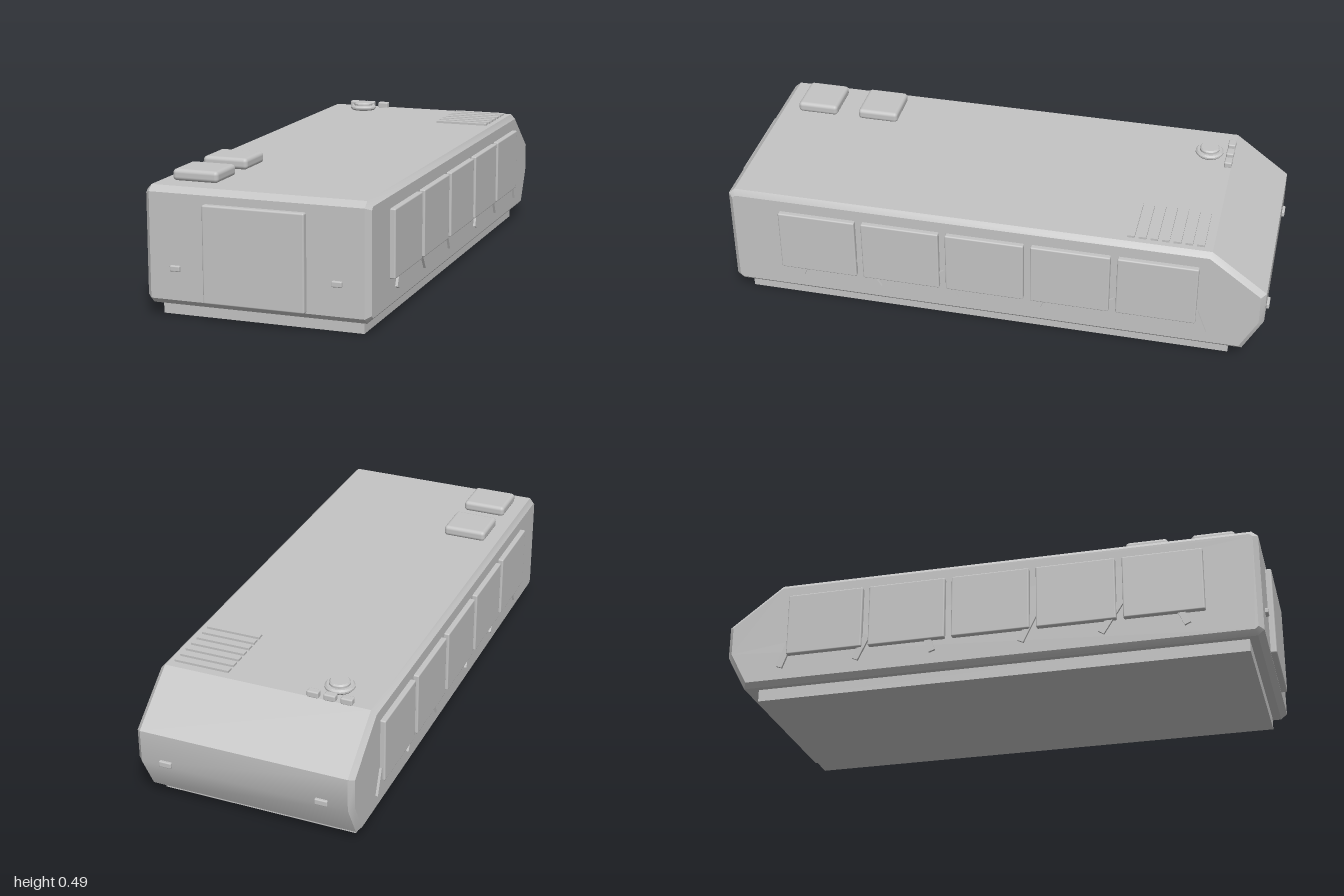
import * as THREE from 'three';
import { toCreasedNormals } from 'three/addons/utils/BufferGeometryUtils.js';
import { RoundedBoxGeometry } from 'three/addons/geometries/RoundedBoxGeometry.js';

export function createModel() {
  const model = new THREE.Group();
  model.name = 'armouredHull';
  const grey = new THREE.MeshStandardMaterial({ color: 0xc4c4c4 });
  grey.name = 'plain grey';

  function add(name, geometry, x, y, z) {
    const mesh = new THREE.Mesh(geometry, grey);
    mesh.name = name;
    mesh.position.set(x, y, z);
    model.add(mesh);
    return mesh;
  }
  const box = (name, w, h, d, x, y, z) => add(name, new THREE.BoxGeometry(w, h, d), x, y, z);
  const rounded = (name, w, h, d, r, x, y, z) =>
    add(name, new RoundedBoxGeometry(w, h, d, 3, r), x, y, z);

  // Hull: side profile (z, y) extruded across the width with chamfered edges
  const profile = [
    [0.955, 0.045], [0.978, 0.065], [0.978, 0.43], [0.955, 0.45],
    [-0.79, 0.45], [-0.99, 0.3], [-0.99, 0.178], [-0.92, 0.045],
  ].map(([z, y]) => new THREE.Vector2(z, y));
  const hull = new THREE.ExtrudeGeometry(new THREE.Shape(profile), {
    depth: 0.76, bevelEnabled: true, bevelSegments: 1,
    bevelSize: 0.018, bevelOffset: -0.018, bevelThickness: 0.018,
  });
  hull.translate(0, 0, -0.38).rotateY(-Math.PI / 2);
  add('hull', toCreasedNormals(hull, 0.55), 0, 0, 0);
  box('bellyTub', 0.72, 0.06, 1.795, 0, 0.03, 0.027);

  // Front door plate
  rounded('frontDoor', 0.36, 0.334, 0.04, 0.006, 0, 0.235, 0.98);

  for (const side of [1, -1]) {
    // Side armour panels
    for (let i = 0; i < 5; i++) {
      rounded('sidePanel', 0.024, 0.238, 0.287, 0.005, side * 0.405, 0.271, 0.64 - i * 0.312);
    }
    // Slanted support arms: bottom z, top z and top y
    const arms = [
      [0.72, 0.67, 0.22], [0.415, 0.49, 0.225], [0.125, 0.18, 0.22],
      [-0.2, -0.24, 0.22], [-0.49, -0.445, 0.2], [-0.78, -0.745, 0.2],
    ];
    for (const [z0, z1, y1] of arms) {
      const y0 = 0.108;
      const arm = box('supportArm', 0.014, Math.hypot(z1 - z0, y1 - y0), 0.024,
        side * 0.4, (y0 + y1) / 2, (z0 + z1) / 2);
      arm.rotation.x = Math.atan2(z1 - z0, y1 - y0);
    }
    // Lamps at both ends
    rounded('frontLamp', 0.036, 0.02, 0.024, 0.004, side * 0.287, 0.175, 0.977);
    rounded('rearLamp', 0.046, 0.022, 0.024, 0.004, side * 0.287, 0.19, -0.988);
  }

  // Roof hatches
  for (const z of [0.575, 0.815]) {
    rounded('roofHatch', 0.166, 0.04, 0.155, 0.014, -0.252, 0.472, z);
  }

  // Round hatch with its raised lid and three periscopes
  const lid = new THREE.LatheGeometry(
    [[0, 0.48], [0.032, 0.48], [0.037, 0.475], [0.037, 0.468], [0.046, 0.468], [0.052, 0.462], [0.052, 0.456], [0.042, 0.445]]
      .reverse().map(([r, y]) => new THREE.Vector2(r, y)), 32);
  add('roundHatch', toCreasedNormals(lid, 0.6), -0.232, 0, -0.7);
  for (const x of [-0.292, -0.231, -0.17]) {
    rounded('periscope', 0.042, 0.024, 0.028, 0.005, x, 0.459, -0.778);
  }

  // Engine grille slats
  for (let i = 0; i < 7; i++) {
    box('grilleSlat', 0.204, 0.012, 0.026, 0.257, 0.452, -0.5 - i * 0.041);
  }
  return model;
}
